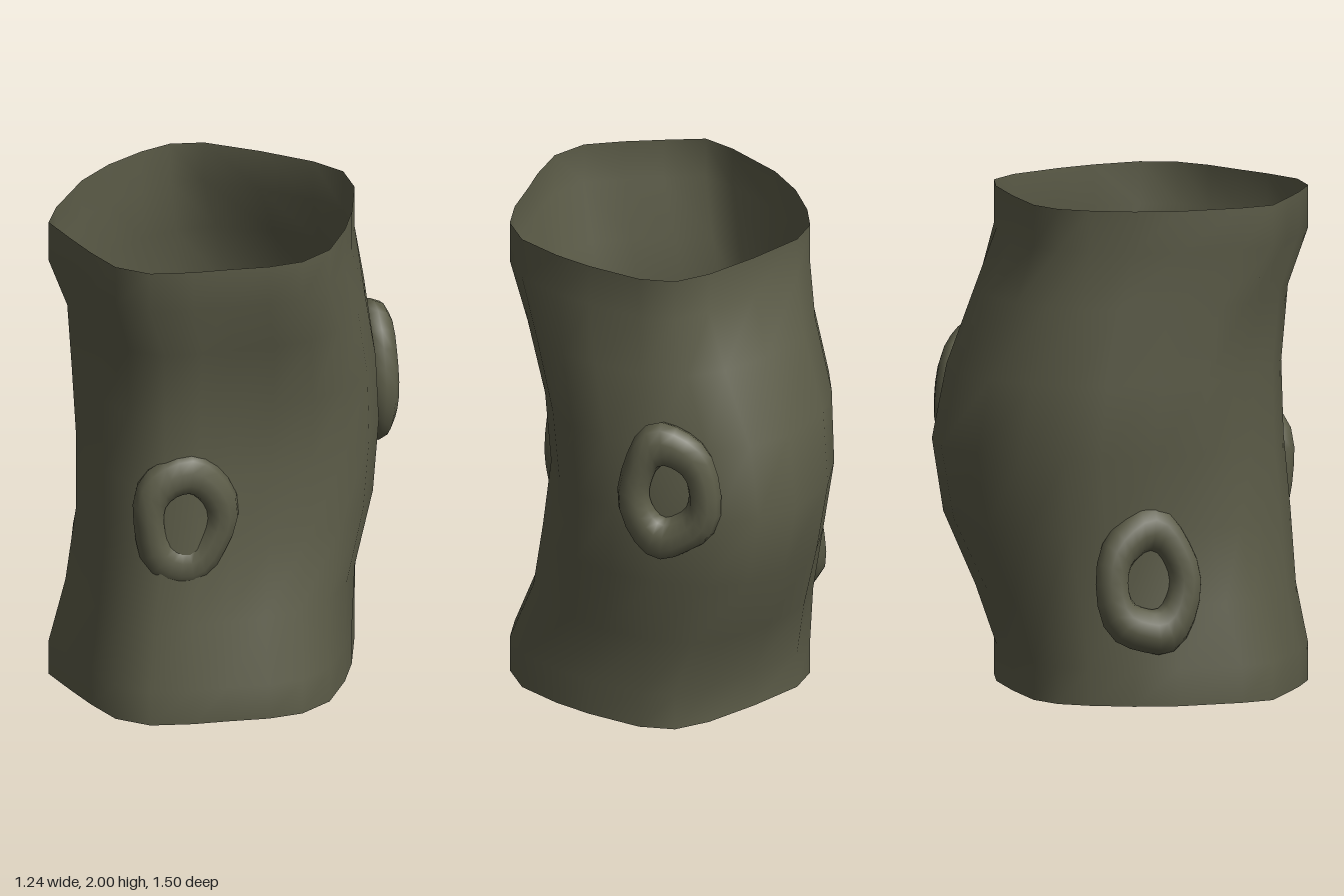
import * as THREE from 'three';

const bark = new THREE.MeshStandardMaterial({ color: 0x5c5c48, side: THREE.DoubleSide });
bark.name = 'mossy bark';

// Cross-sections as [x, z], from the front round past the model's left
const END = [
  [-0.04, 0.75], [0.11, 0.73], [0.25, 0.63], [0.35, 0.54], [0.48, 0.43], [0.57, 0.32],
  [0.605, 0.17], [0.56, -0.02], [0.5, -0.17], [0.39, -0.37], [0.28, -0.465], [0.13, -0.48],
  [-0.1, -0.45], [-0.33, -0.4], [-0.44, -0.32], [-0.5, -0.2], [-0.55, -0.03], [-0.565, 0.15],
  [-0.525, 0.41], [-0.48, 0.54], [-0.33, 0.62], [-0.19, 0.69]];
const MIDDLE = [
  [-0.05, 0.64], [0.1, 0.6], [0.2, 0.5], [0.29, 0.38], [0.39, 0.25], [0.5, 0.12],
  [0.56, -0.04], [0.57, -0.2], [0.51, -0.37], [0.4, -0.52], [0.22, -0.68], [0.06, -0.75],
  [-0.12, -0.74], [-0.34, -0.63], [-0.47, -0.47], [-0.55, -0.31], [-0.57, -0.17], [-0.56, 0.05],
  [-0.52, 0.25], [-0.46, 0.37], [-0.36, 0.47], [-0.2, 0.58]];

// Rows: height, blend towards the middle section, x range, z range
const ROWS = [
  [0, 0, -0.565, 0.605, -0.48, 0.75],
  [0.15, 0, -0.565, 0.605, -0.48, 0.75],
  [0.4, 0.4, -0.53, 0.55, -0.57, 0.7],
  [0.7, 0.8, -0.525, 0.56, -0.7, 0.68],
  [1, 1, -0.56, 0.565, -0.75, 0.65],
  [1.3, 0.9, -0.575, 0.575, -0.69, 0.64],
  [1.6, 0.5, -0.545, 0.595, -0.57, 0.67],
  [1.83, 0, -0.565, 0.605, -0.48, 0.75],
  [2, 0, -0.565, 0.605, -0.48, 0.75]];

// Stretch a list of values to fill a range
function fit(values, lo, hi) {
  const min = Math.min(...values), max = Math.max(...values);
  return values.map(v => lo + (v - min) / (max - min) * (hi - lo));
}

function trunkGeometry() {
  const n = END.length, positions = [], index = [];
  ROWS.forEach(([y, t, x0, x1, z0, z1], r) => {
    const mix = k => END.map((p, i) => THREE.MathUtils.lerp(p[k], MIDDLE[i][k], t));
    const xs = fit(mix(0), x0, x1), zs = fit(mix(1), z0, z1);
    for (let i = 0; i < n; i++) {
      positions.push(xs[i], y, zs[i]);
      if (r === 0) continue;
      const a = (r - 1) * n + i, b = (r - 1) * n + (i + 1) % n;
      index.push(a, b, b + n, a, b + n, a + n);
    }
  });
  const g = new THREE.BufferGeometry();
  g.setAttribute('position', new THREE.Float32BufferAttribute(positions, 3));
  g.setIndex(index);
  g.computeVertexNormals();
  return g;
}

// Uneven oval ring of bark around a branch scar
function knot(name, position, normal, width, height, seed) {
  const g = new THREE.TorusGeometry(0.69, 0.31, 10, 22);
  const p = g.attributes.position;
  for (let i = 0; i < p.count; i++) {
    const x = p.getX(i), y = p.getY(i), a = Math.atan2(y, x);
    const wobble = 1 + 0.035 * Math.sin(3 * a + seed) + 0.025 * Math.sin(5 * a + 2 * seed);
    p.setXYZ(i, x * wobble * width / 2, y * wobble * height / 2, p.getZ(i) * 0.22);
  }
  g.computeVertexNormals();
  // Share normals across the tube seams
  const nrm = g.attributes.normal, row = 23;
  const weld = (i, j) => {
    const v = new THREE.Vector3().fromBufferAttribute(nrm, i)
      .add(new THREE.Vector3().fromBufferAttribute(nrm, j)).normalize();
    nrm.setXYZ(i, v.x, v.y, v.z);
    nrm.setXYZ(j, v.x, v.y, v.z);
  };
  for (let i = 0; i < row; i++) weld(i, 10 * row + i);
  for (let j = 0; j <= 10; j++) weld(j * row, j * row + 22);

  const mesh = new THREE.Mesh(g, bark);
  mesh.name = name;
  mesh.position.set(...position);
  mesh.lookAt(mesh.position.clone().add(new THREE.Vector3(...normal)));
  return mesh;
}

export function createModel() {
  const model = new THREE.Group();
  model.name = 'hollowTrunk';
  const trunk = new THREE.Mesh(trunkGeometry(), bark);
  trunk.name = 'trunk';
  model.add(
    trunk,
    knot('frontKnot', [0.15, 0.85, 0.54], [0.7, 0, 0.71], 0.43, 0.58, 0.6),
    knot('backKnot', [0.36, 1.12, -0.55], [0.66, 0, -0.75], 0.42, 0.6, 2.1),
    knot('rightKnot', [-0.53, 0.5, 0.03], [-0.97, 0.14, 0.15], 0.44, 0.6, 3.7));
  return model;
}
